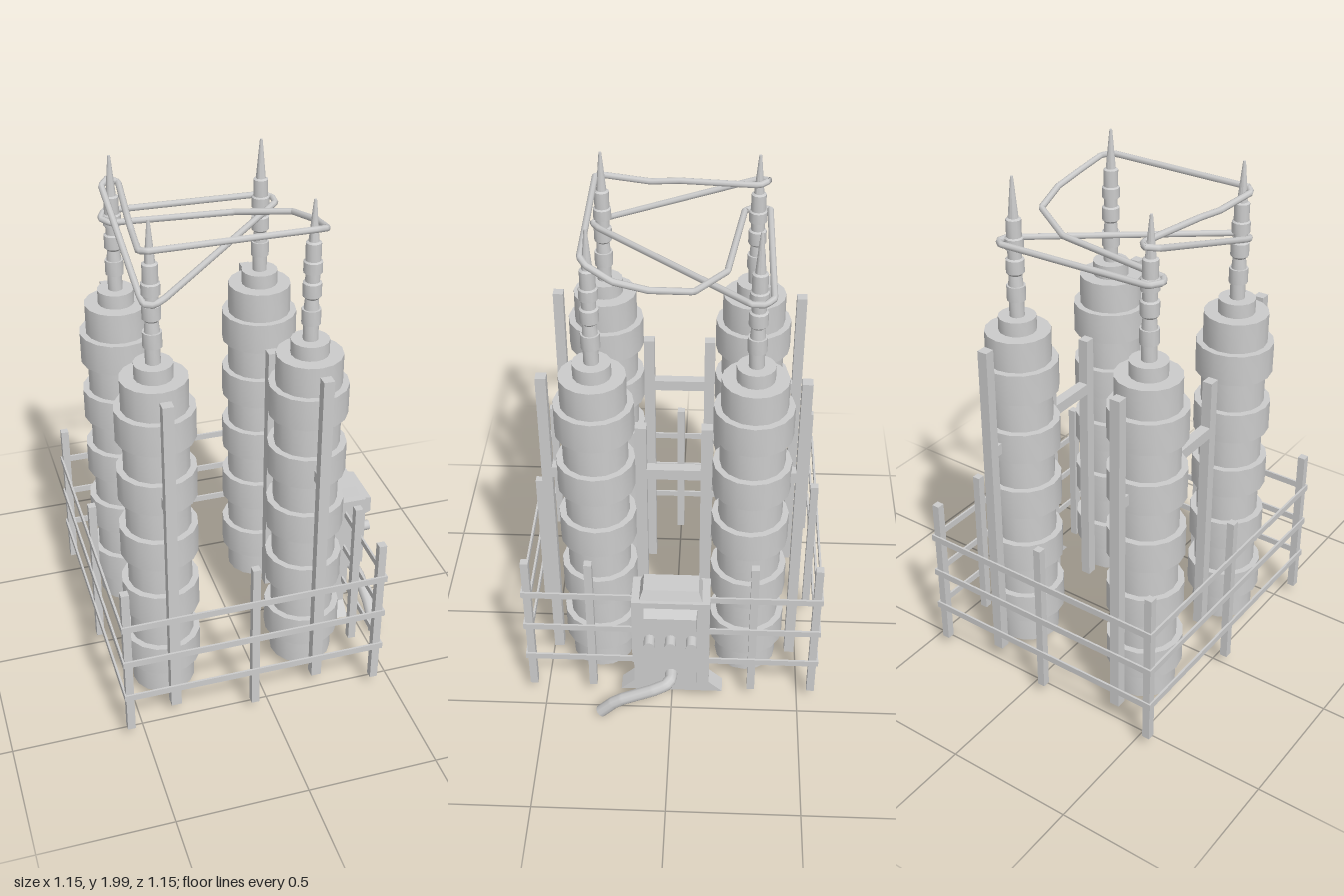
import * as THREE from 'three';
import { toCreasedNormals } from 'three/addons/utils/BufferGeometryUtils.js';

const grey = new THREE.MeshStandardMaterial({ color: 0xcccccc });
const open = new THREE.MeshStandardMaterial({ color: 0xcccccc, side: THREE.DoubleSide });

export function createModel() {
  const model = new THREE.Group();
  const add = (name, geometry, material = grey, parent = model) => {
    const mesh = new THREE.Mesh(geometry, material);
    mesh.name = name;
    parent.add(mesh);
    return mesh;
  };
  // box given by its min and max on each axis
  const box = (name, x0, x1, y0, y1, z0, z1, parent) =>
    add(name, new THREE.BoxGeometry(x1 - x0, y1 - y0, z1 - z0), grey, parent)
      .position.set((x0 + x1) / 2, (y0 + y1) / 2, (z0 + z1) / 2);
  const lathe = (profile, sides) => toCreasedNormals(
    new THREE.LatheGeometry(profile.map(([r, y]) => new THREE.Vector2(r, y)), sides), 0.6);
  // tube that follows straight runs between its points
  const tube = (name, pts, radius, steps, sides, closed) => add(name, new THREE.TubeGeometry(
    new THREE.CatmullRomCurve3(pts.map(p => new THREE.Vector3(...p)), closed, 'catmullrom', 0),
    steps, radius, sides, closed), open);

  // banded column, open at the bottom
  const columnProfile = [[0.122, 0.065]];
  for (let i = 0; i < 5; i++) {
    const y = 0.18 + i * 0.25;
    columnProfile.push([0.122, y], [0.147, y], [0.147, y + 0.122], [0.122, y + 0.122]);
  }
  columnProfile.push([0.122, 1.42], [0.07, 1.42], [0.07, 1.475], [0, 1.475]);
  const columnGeo = lathe(columnProfile, 16);

  // stepped rod ending in a spike
  const rodGeo = lathe([
    [0.028, 1.475], [0.028, 1.538], [0.035, 1.538], [0.035, 1.595], [0.028, 1.595],
    [0.024, 1.635], [0.034, 1.645], [0.034, 1.695], [0.026, 1.7], [0.026, 1.735],
    [0.034, 1.735], [0.034, 1.775], [0.028, 1.78], [0.028, 1.845], [0.019, 1.85],
    [0.008, 1.97], [0.005, 2], [0, 2]], 12);

  for (const x of [-0.36, 0.21]) {
    for (const s of [1, -1]) {
      const tower = new THREE.Group();
      tower.name = 'tower';
      model.add(tower);
      add('column', columnGeo, open, tower).position.set(x, 0, s * 0.29);
      add('spike', rodGeo, grey, tower).position.set(x, 0, s * 0.29);
      // outer and inner support posts with a short bracket
      const part = (name, y0, y1, a, b) =>
        box(name, x - 0.02, x + 0.02, y0, y1, Math.min(s * a, s * b), Math.max(s * a, s * b), tower);
      part('outerPost', 0.065, 1.41, 0.453, 0.492);
      part('bracket', 0.965, 1.01, 0.4, 0.46);
      part('innerPost', 0.065, 1.2, 0.1, 0.142);
    }
    box('crossBeam', x - 0.02, x + 0.02, 0.965, 1.01, -0.11, 0.11);
  }

  // fence
  const fence = new THREE.Group();
  fence.name = 'fence';
  model.add(fence);
  const posts = [[-0.555, 0], [0.423, 0.314], [0.423, -0.314]];
  for (const x of [-0.555, -0.066, 0.423]) posts.push([x, 0.552], [x, -0.552]);
  for (const [x, z] of posts)
    box('fencePost', x - 0.015, x + 0.015, 0.065, 0.71, z - 0.015, z + 0.015, fence);
  for (const y of [0.228, 0.391, 0.557]) {
    const a = y - 0.013, b = y + 0.013;
    for (const z of [-0.57, 0.57])
      box('rail', -0.576, 0.447, a, b, z - 0.004, z + 0.004, fence);
    for (const x of [-0.572, 0.443])
      box('rail', x - 0.004, x + 0.004, a, b, -0.57, 0.57, fence);
  }

  // control console: pedestal flared at the foot, cabinet and sloped lid
  const shape = new THREE.Shape([[-0.2, 0.065], [0.2, 0.065], [0.147, 0.115], [0.147, 0.615],
    [-0.147, 0.615], [-0.147, 0.115]].map(p => new THREE.Vector2(...p)));
  const pedestal = new THREE.ExtrudeGeometry(shape, { depth: 0.068, bevelEnabled: false });
  pedestal.rotateY(Math.PI / 2);
  add('pedestal', pedestal).position.x = 0.385;
  box('cabinet', 0.44, 0.528, 0.298, 0.615, -0.147, 0.147);

  // box whose far face is drawn in, along +y
  const taper = (w, h, d, kx, kz) => {
    const g = new THREE.BoxGeometry(w, h, d), p = g.attributes.position;
    for (let i = 0; i < p.count; i++)
      if (p.getY(i) > 0) p.setXYZ(i, p.getX(i) * kx, p.getY(i), p.getZ(i) * kz);
    const flat = g.toNonIndexed();
    flat.computeVertexNormals();
    return flat;
  };
  add('lid', taper(0.115, 0.042, 0.236, 0.75, 0.88)).position.set(0.457, 0.635, 0);
  const screen = add('screen', taper(0.088, 0.045, 0.2, 0.75, 0.97));
  screen.rotation.z = -Math.PI / 2;
  screen.position.set(0.549, 0.545, 0);
  for (const z of [-0.08, 0, 0.08]) {
    const knob = add('knob', new THREE.CylinderGeometry(0.021, 0.021, 0.05, 12));
    knob.rotation.z = -Math.PI / 2;
    knob.position.set(0.549, 0.43, z);
  }
  box('socketPlate', 0.45, 0.484, 0.107, 0.27, -0.1, 0.1);

  // cable running from the socket to the ground
  tube('cable', [[0.47, 0.195, 0], [0.515, 0.193, 0], [0.54, 0.185, 0.02], [0.55, 0.165, 0.07],
    [0.55, 0.11, 0.19], [0.548, 0.085, 0.225], [0.546, 0.03, 0.277]], 0.024, 40, 10, false);

  // wire strung in one closed loop round the spikes
  tube('wire', [
    [-0.37, 1.9, 0.312], [0.22, 1.9, 0.312], [0.255, 1.89, 0.29], [0.29, 1.85, 0.2],
    [0.298, 1.825, 0.08], [0.26, 1.8, -0.07], [0.08, 1.775, -0.18], [-0.38, 1.765, -0.24],
    [-0.405, 1.768, -0.28], [-0.38, 1.772, -0.335], [0.23, 1.762, -0.34], [0.264, 1.757, -0.31],
    [0.26, 1.755, -0.265], [-0.315, 1.715, 0.3], [-0.36, 1.71, 0.328], [-0.39, 1.71, 0.31],
    [-0.393, 1.72, 0.27], [-0.393, 1.89, -0.29], [-0.36, 1.9, -0.328], [-0.33, 1.895, -0.29],
    [-0.365, 1.89, 0], [-0.375, 1.88, 0.11], [-0.395, 1.893, 0.285]], 0.012, 320, 8, true);

  return model;
}
